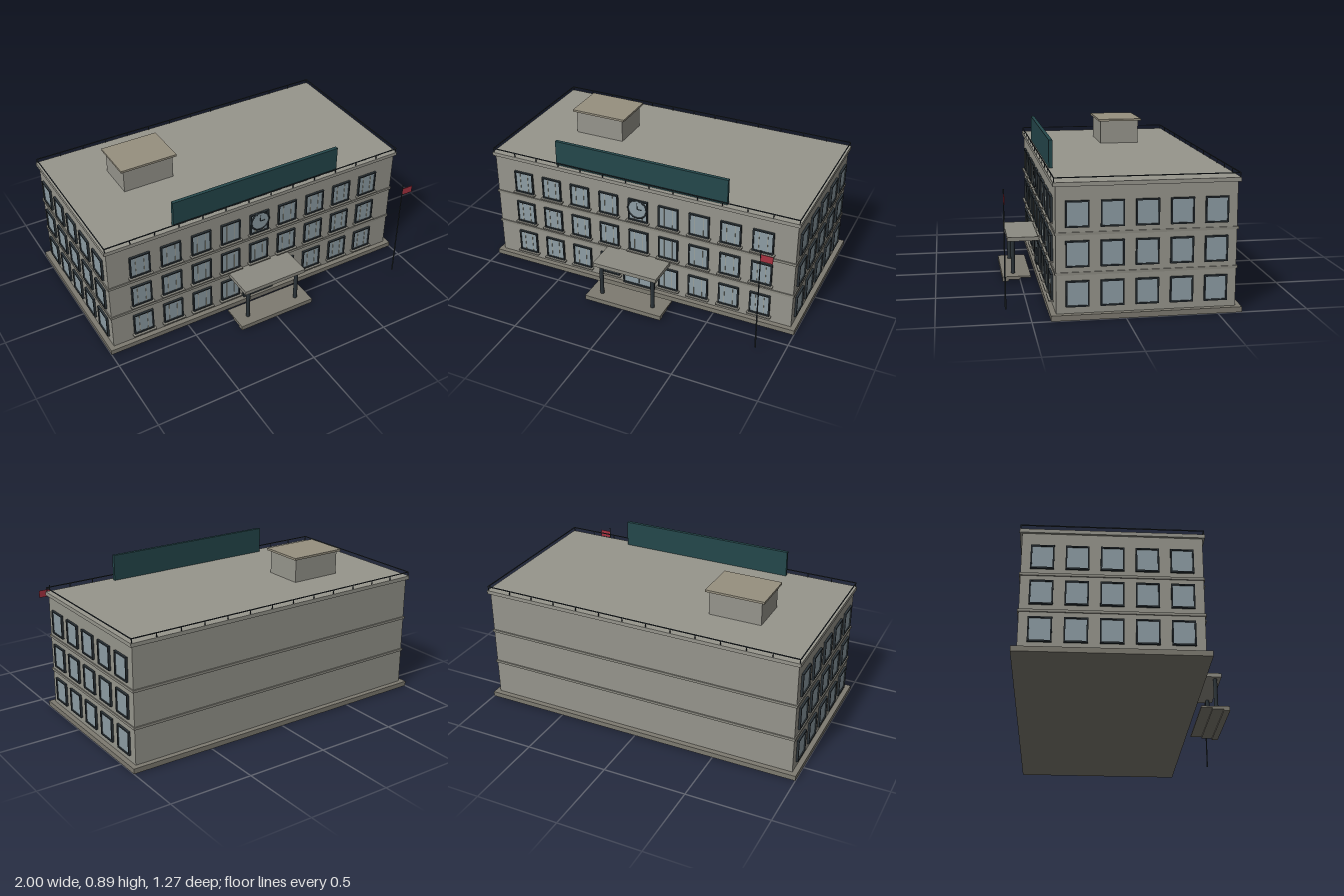
import * as THREE from 'three';

const mat = (color) => new THREE.MeshStandardMaterial({ color });

export function createModel() {
  const root = new THREE.Group();
  const wall = mat(0x96958c), trim = mat(0x8c8b82), stone = mat(0x7d7a70), dark = mat(0x2b3338);
  const glass = mat(0x8d9da4), teal = mat(0x24474b), red = mat(0xa83240), pale = mat(0xa5a698);
  const ZC = -0.117; // middle of the main block in z

  const add = (name, geo, m, x = 0, y = 0, z = 0, parent = root) => {
    const mesh = new THREE.Mesh(geo, m);
    mesh.name = name;
    mesh.position.set(x, y, z);
    parent.add(mesh);
    return mesh;
  };
  // Box given by its extents on each axis
  const box = (name, m, x0, x1, y0, y1, z0, z1, parent = root) =>
    add(name, new THREE.BoxGeometry(x1 - x0, y1 - y0, z1 - z0), m,
      (x0 + x1) / 2, (y0 + y1) / 2, (z0 + z1) / 2, parent);

  // Rectangular frame with a hole, standing out along +z
  const frameGeo = (w, h, t, depth) => {
    const rect = (P, a, b) => new P([[-a, -b], [a, -b], [a, b], [-a, b]].map((p) => new THREE.Vector2(...p)));
    const s = rect(THREE.Shape, w / 2, h / 2);
    s.holes.push(rect(THREE.Path, w / 2 - t, h / 2 - t));
    return new THREE.ExtrudeGeometry(s, { depth, bevelEnabled: false });
  };

  // Plinth, walls, storey bands and roof slab
  box('plinth', stone, -1, 1, 0, 0.03, -0.634, 0.4);
  box('walls', wall, -0.97, 0.97, 0.03, 0.716, -0.603, 0.37);
  for (const y of [0.24, 0.455]) box('storeyBand', trim, -0.976, 0.976, y, y + 0.015, -0.61, 0.376);
  box('roofSlab', wall, -0.983, 0.983, 0.714, 0.736, -0.617, 0.383);

  // Windows: nine columns on the front, five on each side
  const W = 0.126, H = 0.142;
  const frame = frameGeo(W, H, 0.008, 0.013);
  const pane = new THREE.BoxGeometry(W - 0.01, H - 0.01, 0.006);
  const sill = new THREE.BoxGeometry(0.145, 0.008, 0.026);
  const mullion = new THREE.BoxGeometry(0.003, H - 0.016, 0.003);
  const makeWindow = (x, y, z, turn, front) => {
    const g = new THREE.Group();
    g.name = 'window';
    add('windowFrame', frame, dark, 0, 0, 0, g);
    add('windowPane', pane, glass, 0, 0, 0.003, g);
    if (front) {
      add('windowSill', sill, trim, 0, -H / 2 - 0.004, 0.013, g);
      for (const s of [-1, 1]) add('mullion', mullion, pale, s * 0.026, 0, 0.007, g);
    }
    g.position.set(x, y, z);
    g.rotation.y = turn;
    root.add(g);
  };
  [0.138, 0.354, 0.567].forEach((y, floor) => {
    for (let i = -4; i <= 4; i++)
      if (floor > 0 || i !== 0) makeWindow(i * 0.1937, y, 0.37, 0, true);
    for (let i = -2; i <= 2; i++)
      for (const s of [-1, 1]) makeWindow(s * 0.97, y, ZC + i * 0.1865, s * Math.PI / 2, false);
  });

  // Clock over the entrance
  const clock = new THREE.Group();
  clock.name = 'clock';
  clock.position.set(0, 0.583, 0.385);
  root.add(clock);
  add('clockFace', new THREE.CylinderGeometry(0.06, 0.06, 0.006, 40), glass, 0, 0, 0, clock).rotation.x = Math.PI / 2;
  add('clockRing', new THREE.TorusGeometry(0.059, 0.005, 10, 48), dark, 0, 0, 0.002, clock);
  box('minuteHand', dark, -0.002, 0.002, 0, 0.04, 0.003, 0.006, clock);
  box('hourHand', dark, 0, 0.03, -0.002, 0.002, 0.003, 0.006, clock);

  // Entrance door with two leaves
  add('doorFrame', frameGeo(0.21, 0.188, 0.01, 0.014), dark, 0, 0.124, 0.37);
  box('doorGlass', glass, -0.1, 0.1, 0.03, 0.212, 0.368, 0.377);
  box('doorPost', dark, -0.003, 0.003, 0.03, 0.212, 0.37, 0.381);
  for (const s of [-1, 1]) box('doorHandle', dark, s * 0.014 - 0.002, s * 0.014 + 0.002, 0.09, 0.14, 0.377, 0.384);

  // Canopy, its columns and the steps
  box('canopy', trim, -0.206, 0.206, 0.238, 0.262, 0.37, 0.573);
  for (const s of [-1, 1])
    add('canopyColumn', new THREE.CylinderGeometry(0.0125, 0.0125, 0.205, 20), dark, s * 0.168, 0.136, 0.539);
  [0.438, 0.505, 0.57].forEach((z, i) =>
    box('step', stone, -0.248, 0.248, 0.024 - i * 0.009, 0.034 - i * 0.009, z, 0.607));

  // Roof railing: rails all round, posts along front and back
  const RX = 0.978, RZ = [0.378, -0.612];
  for (const z of RZ) {
    box('rail', dark, -RX, RX, 0.758, 0.763, z - 0.0025, z + 0.0025);
    for (let i = 0; i < 14; i++) {
      const x = -RX + 0.002 + i * (2 * RX - 0.004) / 13;
      box('railPost', dark, x - 0.002, x + 0.002, 0.735, 0.76, z - 0.002, z + 0.002);
    }
  }
  for (const s of [-1, 1]) box('rail', dark, s * RX - 0.0025, s * RX + 0.0025, 0.758, 0.763, RZ[1], RZ[0]);

  // Roof board and roof hut
  box('roofBoard', teal, -0.549, 0.547, 0.735, 0.893, 0.335, 0.356);
  box('roofHut', wall, -0.645, -0.327, 0.735, 0.882, -0.319, -0.075);
  box('roofHutCap', mat(0x96907f), -0.664, -0.308, 0.88, 0.893, -0.335, -0.06);

  // Flagpole and flag
  add('flagpole', new THREE.CylinderGeometry(0.0028, 0.0045, 0.655, 12), dark, 0.846, 0.3575, 0.627);
  box('flag', red, 0.848, 0.917, 0.615, 0.659, 0.626, 0.629);

  return root;
}
